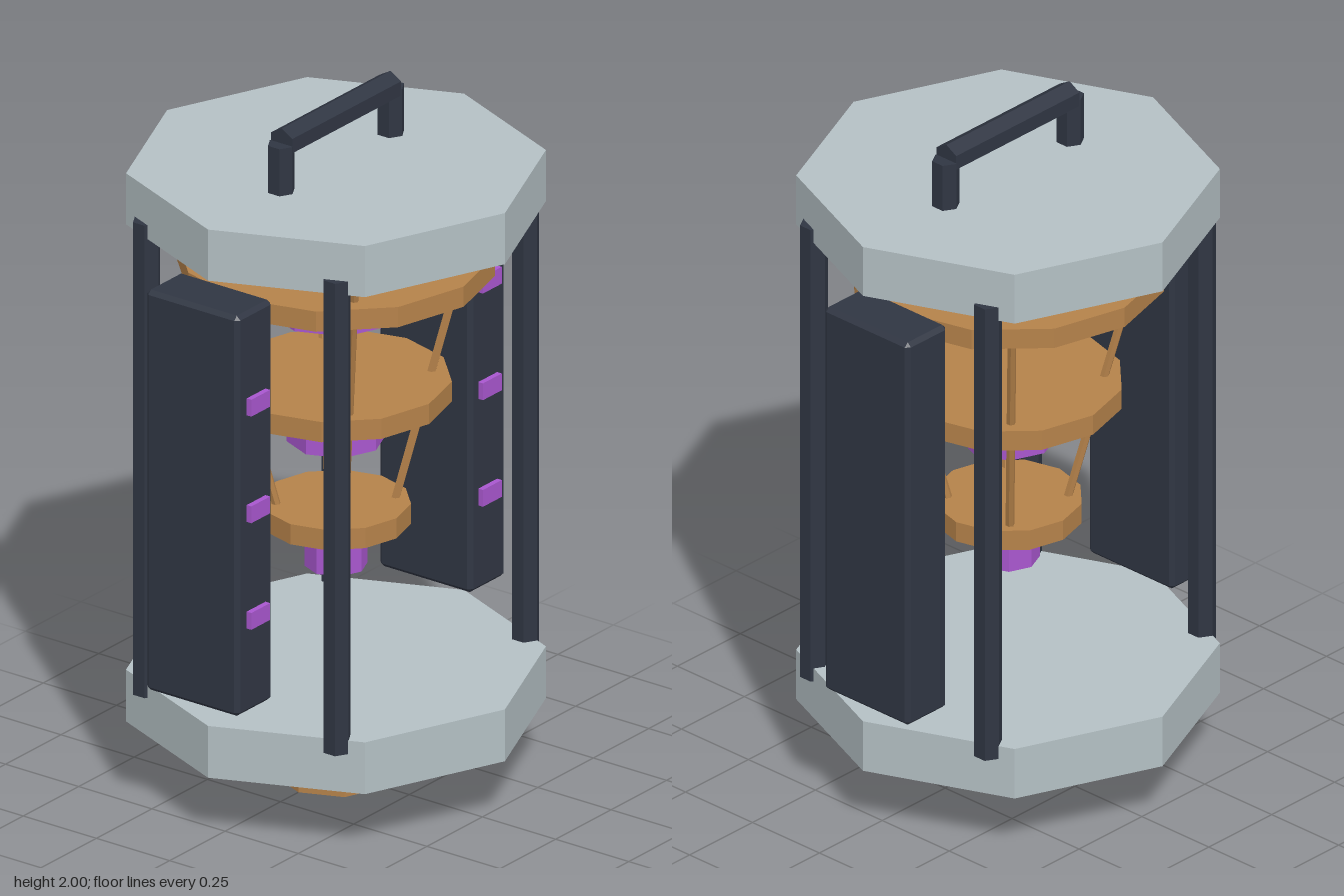
import * as THREE from 'three';
import { ConvexGeometry } from 'three/addons/geometries/ConvexGeometry.js';

function material(name, color) {
  const m = new THREE.MeshStandardMaterial({ color });
  m.name = name;
  return m;
}

// Faceted prism or tapered drum with hard edges, standing on y = 0 locally centred
function prism(radius, height, sides) {
  const g = new THREE.CylinderGeometry(radius, radius, height, sides).toNonIndexed();
  g.computeVertexNormals();
  return g;
}

// Box with every edge chamfered by c
function chamferedBox(w, h, d, c) {
  const pts = [];
  for (const x of [-w / 2, w / 2])
    for (const y of [-h / 2, h / 2])
      for (const z of [-d / 2, d / 2]) {
        const ix = x - Math.sign(x) * c, iy = y - Math.sign(y) * c, iz = z - Math.sign(z) * c;
        pts.push(new THREE.Vector3(x, iy, iz), new THREE.Vector3(ix, y, iz), new THREE.Vector3(ix, iy, z));
      }
  return new ConvexGeometry(pts);
}

export function createModel() {
  const model = new THREE.Group();
  model.name = 'lantern';
  const plate = material('pale grey metal', 0xb4c0c4);
  const dark = material('dark slate', 0x303643);
  const copper = material('copper', 0xb5824a);
  const purple = material('purple glow', 0xa957cf);

  function add(name, geometry, mat, x = 0, y = 0, z = 0) {
    const mesh = new THREE.Mesh(geometry, mat);
    mesh.name = name;
    mesh.position.set(x, y, z);
    model.add(mesh);
    return mesh;
  }

  // Upright prism between two heights
  const drum = (name, r, y0, y1, sides, mat, x = 0, z = 0) =>
    add(name, prism(r, y1 - y0, sides), mat, x, (y0 + y1) / 2, z);

  // Foot, hub and the two end plates
  drum('foot', 0.17, 0, 0.066, 8, copper);
  drum('hub', 0.28, 0.066, 0.186, 8, dark);
  drum('bottomPlate', 0.577, 0.186, 0.34, 8, plate);
  drum('topPlate', 0.577, 1.664, 1.816, 8, plate);

  // Stacked copper rings with a glowing core below each
  const tiers = [
    [0.206, 0.75, 0.087, 0.62],
    [0.318, 1.12, 0.136, 0.993],
    [0.436, 1.5, 0.187, 1.377],
  ];
  for (const [ringR, ringY, coreR, coreY] of tiers) {
    drum('ring', ringR, ringY, ringY + 0.06, 12, copper);
    drum('core', coreR, coreY, coreY + 0.095, 8, purple);
  }

  for (const sx of [-1, 1]) {
    for (const sz of [-1, 1]) {
      // Hexagonal corner posts
      drum('post', 0.04, 0.3, 1.705, 6, dark, sx * 0.425, sz * 0.325);

      // Slanted rods carrying the rings
      const low = new THREE.Vector3(sx * 0.109, 0.77, sz * 0.109);
      const high = new THREE.Vector3(sx * 0.28, 1.68, sz * 0.28);
      const dir = high.clone().sub(low);
      const rod = add('rod', prism(0.0125, dir.length(), 6), copper);
      rod.position.copy(low).add(high).multiplyScalar(0.5);
      rod.quaternion.setFromUnitVectors(new THREE.Vector3(0, 1, 0), dir.normalize());
    }

    // Side panels with indicator lights
    add('sidePanel', chamferedBox(0.16, 1.19, 0.317, 0.012), dark, sx * 0.525, 1, -0.036);
    for (const y of [0.683, 1, 1.317])
      add('indicatorLight', new THREE.BoxGeometry(0.085, 0.05, 0.025), purple, sx * 0.522, y, 0.126);

    // Handle legs
    drum('handleLeg', 0.039, 1.8, 1.956, 6, dark, sx * 0.247);
  }

  // Handle bar, one edge upward
  const bar = prism(0.0425, 0.49, 6);
  bar.rotateY(Math.PI / 2).rotateZ(Math.PI / 2);
  add('handleBar', bar, dark, 0, 1.9575, 0);

  return model;
}
